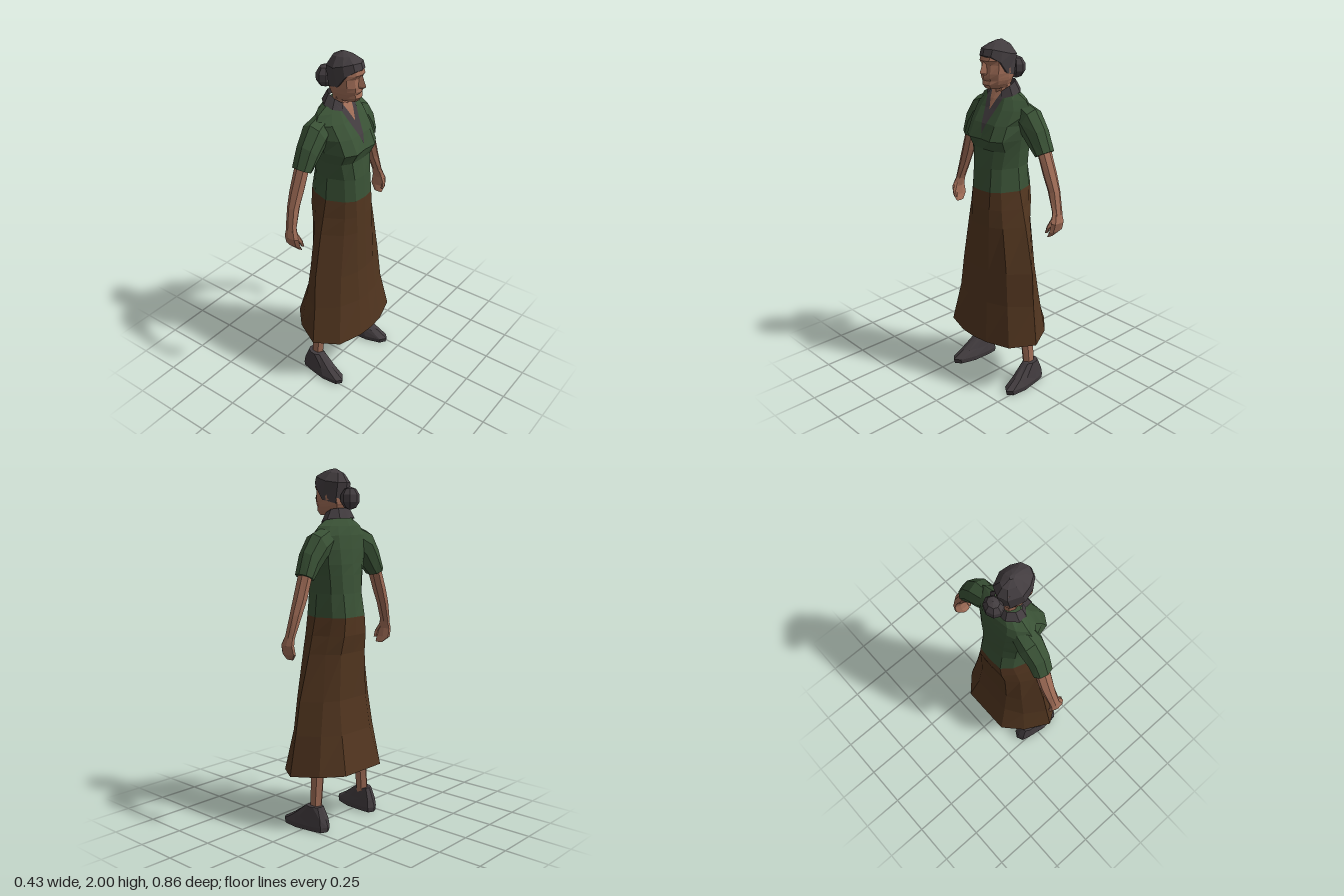
import * as THREE from 'three';

const mat = (name, color, side = THREE.FrontSide) =>
  Object.assign(new THREE.MeshStandardMaterial({ color, side, flatShading: true }), { name });

// Joins stacked rings of [x, y, z] points (listed bottom to top) into a faceted skin.
function loft(rings, { side = 1, inward = false, open = false, caps = true } = {}) {
  const pos = [];
  const flip = (side < 0) !== inward;
  const tri = (a, b, c) => {
    for (const p of flip ? [a, c, b] : [a, b, c]) pos.push(p[0], p[1], p[2] * side);
  };
  const n = rings[0].length;
  for (let i = 0; i < rings.length - 1; i++) {
    for (let j = 0; j < (open ? n - 1 : n); j++) {
      const k = (j + 1) % n, lo = rings[i], hi = rings[i + 1];
      tri(lo[j], hi[j], lo[k]);
      tri(lo[k], hi[j], hi[k]);
    }
  }
  if (caps) {
    const lo = rings[0], hi = rings[rings.length - 1];
    for (let j = 1; j < n - 1; j++) {
      tri(lo[0], lo[j], lo[j + 1]);
      tri(hi[0], hi[j + 1], hi[j]);
    }
  }
  const g = new THREE.BufferGeometry();
  g.setAttribute('position', new THREE.Float32BufferAttribute(pos, 3));
  g.computeVertexNormals();
  return g;
}

// Completes half an outline (front to back) with its mirror image.
const whole = (half) => [...half, ...half.filter((p) => p[2] !== 0).reverse().map(([x, y, z]) => [x, y, -z])];
// A mirrored ring at one height from [x, z] pairs; tilt slopes it along x.
const level = (y, half, tilt = 0) => whole(half.map(([x, z]) => [x, y + tilt * x, z]));
// An oval ring; dy raises its outer edge.
const oval = ([cx, cy, cz, rx, rz, dy = 0], n = 7) =>
  Array.from({ length: n }, (_, i) => {
    const a = (i / n) * Math.PI * 2;
    return [cx + rx * Math.cos(a), cy + dy * Math.sin(a), cz + rz * Math.sin(a)];
  });

export function createModel() {
  const model = new THREE.Group();
  model.name = 'woman';
  const green = mat('blouse green', 0x3a5236);
  const brown = mat('skirt brown', 0x51351f);
  const skin = mat('skin', 0xa06d57);
  const grey = mat('dark grey', 0x423c3f);
  const greyOpen = mat('dark grey trim', 0x423c3f, THREE.DoubleSide);
  const add = (name, geometry, material) => {
    const m = new THREE.Mesh(geometry, material);
    m.name = name;
    model.add(m);
    return m;
  };

  // Skirt with a dark lining
  const waist = [[0.148, 0], [0.14, 0.07], [0.1, 0.115], [0, 0.158], [-0.1, 0.125], [-0.155, 0.08], [-0.16, 0]];
  const skirt = [
    [0.322, [[0.213, 0], [0.205, 0.1], [0.16, 0.245], [0.03, 0.333], [-0.12, 0.255], [-0.22, 0.15], [-0.22, 0]]],
    [0.55, [[0.183, 0], [0.178, 0.08], [0.13, 0.2], [0.02, 0.297], [-0.1, 0.22], [-0.165, 0.12], [-0.165, 0]]],
    [0.74, [[0.165, 0], [0.16, 0.075], [0.12, 0.18], [0.01, 0.274], [-0.09, 0.19], [-0.14, 0.11], [-0.14, 0]]],
    [1.0, [[0.155, 0], [0.15, 0.07], [0.11, 0.14], [0, 0.207], [-0.08, 0.16], [-0.14, 0.1], [-0.143, 0]]],
    [1.1, [[0.152, 0], [0.147, 0.07], [0.105, 0.125], [0, 0.182], [-0.09, 0.14], [-0.155, 0.09], [-0.16, 0]]],
    [1.2, waist],
  ].map(([y, half], i) => level(y, half, i ? 0 : -0.05));
  add('skirt', loft(skirt, { caps: false }), brown);
  const lining = skirt.map((r, i) => r.map(([x, y, z]) => (i ? [x * 0.97, y, z * 0.97] : [x, y, z])));
  add('skirtLining', loft(lining, { inward: true, caps: false }), grey);

  // Blouse body
  const blouse = [
    [1.2, waist],
    [1.33, [[0.14, 0], [0.13, 0.07], [0.09, 0.11], [0, 0.145], [-0.09, 0.125], [-0.135, 0.075], [-0.147, 0]]],
    [1.43, [[0.125, 0], [0.12, 0.08], [0.085, 0.13], [0, 0.155], [-0.09, 0.135], [-0.13, 0.08], [-0.142, 0]]],
    [1.49, [[0.143, 0], [0.152, 0.08], [0.115, 0.14], [0, 0.166], [-0.09, 0.145], [-0.13, 0.085], [-0.137, 0]]],
    [1.57, [[0.112, 0], [0.115, 0.08], [0.08, 0.14], [-0.01, 0.18], [-0.09, 0.15], [-0.125, 0.09], [-0.13, 0]]],
    [1.645, [[0.065, 0], [0.065, 0.08], [0.035, 0.14], [-0.03, 0.2], [-0.09, 0.15], [-0.115, 0.09], [-0.122, 0]]],
    [1.695, [[0.04, 0], [0.035, 0.07], [0.01, 0.11], [-0.035, 0.165], [-0.08, 0.12], [-0.1, 0.08], [-0.11, 0]]],
    [1.735, [[0.015, 0], [0.01, 0.05], [0, 0.07], [-0.03, 0.09], [-0.065, 0.07], [-0.085, 0.04], [-0.09, 0]]],
  ];
  add('blouse', loft(blouse.map(([y, half]) => level(y, half))), green);

  // Neckline panels laid over the chest
  const chestX = (y, z) => {
    const i = Math.max(0, blouse.findIndex(([h]) => h >= y) - 1);
    const [[y0, a], [y1, b]] = [blouse[i], blouse[i + 1]];
    const at = (h) => THREE.MathUtils.lerp(h[0][0], h[1][0], z / h[1][1]);
    return THREE.MathUtils.lerp(at(a), at(b), (y - y0) / (y1 - y0));
  };
  const neckline = (bottom, width, lift) => {
    const ys = [bottom, 1.57, 1.645, 1.695, 1.734].filter((y) => y >= bottom);
    return loft(ys.map((y) => {
      const z = 0.001 + width * (y - bottom) / (1.734 - bottom);
      const edge = chestX(y, z) + lift;
      return [[edge, y, -z], [chestX(y, 0) + lift, y, 0], [edge, y, z]];
    }), { open: true, caps: false });
  };
  add('necklineTrim', neckline(1.52, 0.07, 0.005), greyOpen);
  add('necklineSkin', neckline(1.64, 0.038, 0.009), skin);

  // Collar
  add('collar', loft([
    whole([[0.04, 1.7, 0.055], [0.005, 1.715, 0.1], [-0.045, 1.73, 0.107], [-0.095, 1.735, 0.06], [-0.1, 1.735, 0]]),
    whole([[0.03, 1.735, 0.04], [0, 1.765, 0.072], [-0.04, 1.785, 0.072], [-0.07, 1.79, 0.045], [-0.077, 1.79, 0]]),
  ], { open: true, caps: false }), greyOpen);

  // Neck and head
  add('neck', loft([[-0.02, 1.66, 0, 0.055, 0.05], [-0.015, 1.74, 0, 0.045, 0.044], [-0.01, 1.82, 0, 0.05, 0.046]]
    .map((r) => oval(r, 8))), skin);
  add('head', loft([
    [1.752, [[0.092, 0], [0.085, 0.022], [0.05, 0.035], [0, 0.042], [-0.04, 0.025], [-0.05, 0]]],
    [1.775, [[0.113, 0], [0.102, 0.028], [0.06, 0.05], [0, 0.056], [-0.05, 0.035], [-0.06, 0]]],
    [1.797, [[0.105, 0], [0.098, 0.032], [0.065, 0.058], [0, 0.066], [-0.055, 0.04], [-0.07, 0]]],
    [1.812, [[0.119, 0], [0.103, 0.034], [0.068, 0.061], [0, 0.069], [-0.06, 0.045], [-0.075, 0]]],
    [1.835, [[0.113, 0], [0.105, 0.037], [0.072, 0.066], [0, 0.072], [-0.06, 0.05], [-0.078, 0]]],
    [1.88, [[0.11, 0], [0.098, 0.035], [0.07, 0.068], [0, 0.074], [-0.06, 0.05], [-0.08, 0]]],
    [1.902, [[0.12, 0], [0.112, 0.036], [0.072, 0.068], [0, 0.074], [-0.06, 0.05], [-0.08, 0]]],
    [1.945, [[0.112, 0], [0.098, 0.036], [0.06, 0.062], [0, 0.07], [-0.06, 0.045], [-0.075, 0]]],
  ].map(([y, half]) => level(y, half))), skin);
  add('nose', loft([
    level(1.83, [[0.13, 0], [0.11, 0.015], [0.09, 0]]),
    level(1.842, [[0.144, 0], [0.108, 0.018], [0.09, 0]]),
    level(1.9, [[0.12, 0], [0.108, 0.009], [0.09, 0]]),
  ]), skin);

  // Hair cap and bun
  add('hair', loft([
    whole([[0.123, 1.93, 0], [0.106, 1.925, 0.044], [0.065, 1.895, 0.075], [0.02, 1.835, 0.078], [-0.055, 1.815, 0.052], [-0.078, 1.82, 0]]),
    whole([[0.112, 1.962, 0], [0.094, 1.962, 0.044], [0.05, 1.95, 0.072], [-0.005, 1.935, 0.083], [-0.072, 1.925, 0.052], [-0.092, 1.925, 0]]),
    whole([[0.062, 1.99, 0], [0.055, 1.987, 0.022], [0.03, 1.985, 0.038], [-0.01, 1.982, 0.044], [-0.05, 1.975, 0.026], [-0.06, 1.975, 0]]),
    whole([[0.02, 2, 0], [0.015, 2, 0.006], [0.01, 2, 0.01], [0, 2, 0.01], [-0.01, 2, 0.006], [-0.015, 2, 0]]),
  ]), grey);
  const bun = add('bun', new THREE.SphereGeometry(1, 8, 5), grey);
  bun.scale.set(0.05, 0.062, 0.058);
  bun.position.set(-0.115, 1.842, 0);

  // Limbs, mirrored across z
  for (const [label, side] of [['left', -1], ['right', 1]]) {
    const limb = (name, rings, material, n) =>
      add(label + name, loft(rings.map((r) => oval(r, n)), { side }), material);
    limb('Sleeve', [
      [-0.05, 1.43, 0.291, 0.058, 0.041, 0.022], [-0.045, 1.51, 0.247, 0.065, 0.044, 0.055],
      [-0.045, 1.585, 0.188, 0.074, 0.034, 0.075], [-0.045, 1.62, 0.12, 0.06, 0.02, 0.07],
    ], green, 8);
    limb('Arm', [
      [-0.045, 1.12, 0.4, 0.033, 0.02], [-0.055, 1.24, 0.361, 0.036, 0.032],
      [-0.055, 1.32, 0.33, 0.042, 0.035], [-0.05, 1.46, 0.28, 0.045, 0.033],
    ], skin);
    limb('Hand', [
      [-0.02, 0.997, 0.375, 0.025, 0.008], [-0.035, 1.03, 0.397, 0.048, 0.018],
      [-0.035, 1.08, 0.408, 0.046, 0.021], [-0.045, 1.14, 0.394, 0.03, 0.019],
    ], skin);
    limb('Thumb', [
      [0.01, 1.025, 0.375, 0.01, 0.008], [0.008, 1.06, 0.388, 0.014, 0.012], [-0.02, 1.11, 0.4, 0.014, 0.012],
    ], skin, 5);
    limb('Leg', [
      [-0.042, 0.1, 0.203, 0.036, 0.031], [-0.038, 0.33, 0.183, 0.045, 0.034], [-0.01, 0.8, 0.13, 0.06, 0.055],
    ], skin, 6);

    // Shoe, toe turned slightly outward
    const shoe = [
      [0.008, [[0.165, 0], [0.14, 0.032], [0.05, 0.05], [-0.05, 0.044], [-0.115, 0.035], [-0.132, 0]]],
      [0.035, [[0.172, 0], [0.145, 0.034], [0.05, 0.054], [-0.05, 0.05], [-0.115, 0.038], [-0.136, 0]]],
      [0.075, [[0.1, 0], [0.08, 0.03], [0.03, 0.044], [-0.05, 0.045], [-0.11, 0.034], [-0.122, 0]]],
      [0.14, [[0.004, 0], [0, 0.02], [-0.03, 0.036], [-0.06, 0.036], [-0.085, 0.024], [-0.093, 0]]],
    ].map(([y, half]) => level(y, half).map(([x, h, z]) => [x, h - 0.008 * (1 - h / 0.15), z + 0.218 + 0.1 * x]));
    add(label + 'Shoe', loft(shoe, { side }), grey);
  }
  return model;
}
